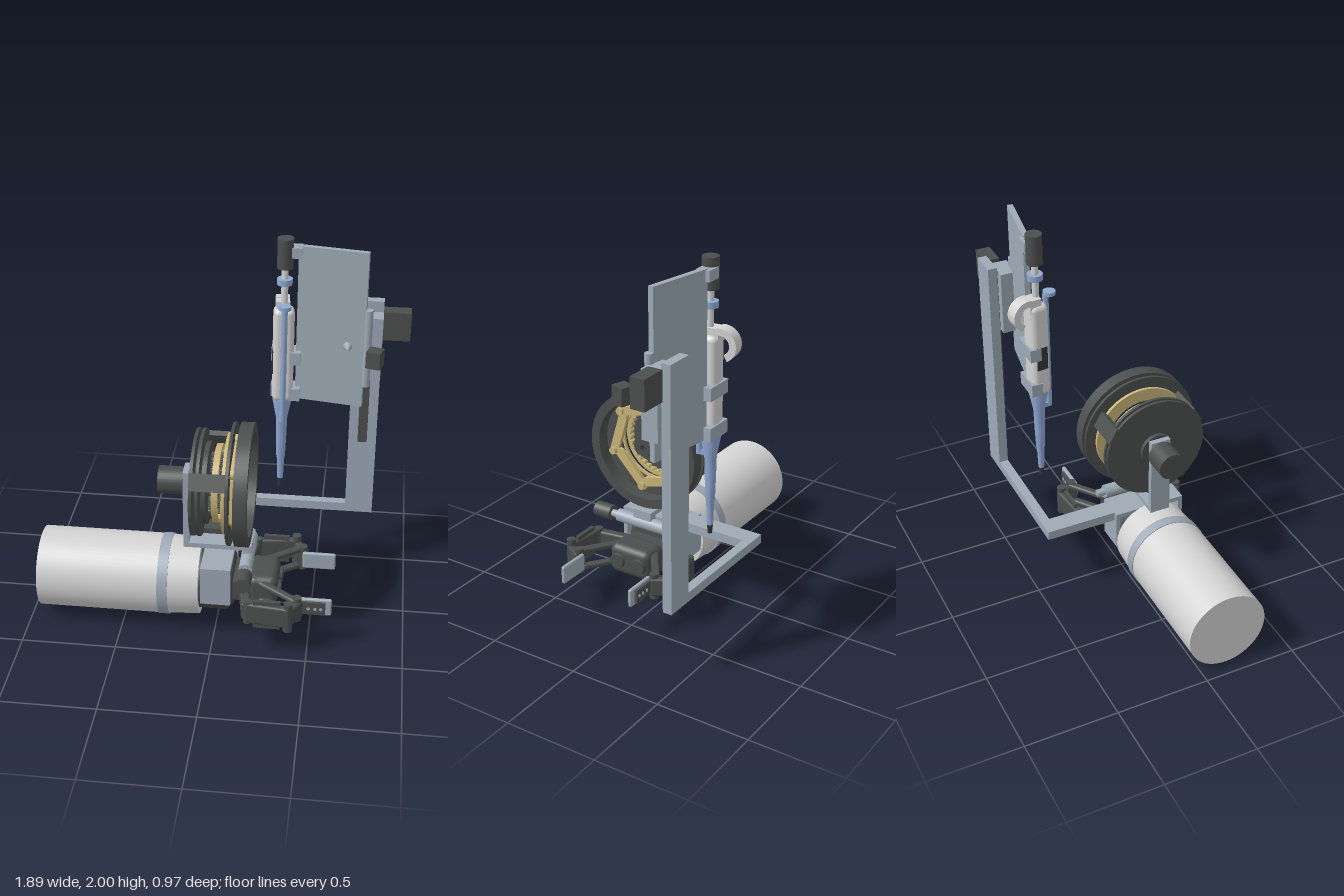
import * as THREE from 'three';
import { toCreasedNormals } from 'three/addons/utils/BufferGeometryUtils.js';
import { RoundedBoxGeometry } from 'three/addons/geometries/RoundedBoxGeometry.js';

const mat = (name, color) => Object.assign(new THREE.MeshStandardMaterial({ color }), { name });

export function createModel() {
  const model = new THREE.Group();
  model.name = 'robotArmTool';
  const steel = mat('blue grey steel', 0x9eaab6);
  const dark = mat('dark grey', 0x4b4f4e);
  const gold = mat('brass', 0xc9b478);
  const silver = mat('light grey', 0xd4d4d4);
  const blue = mat('light blue', 0x8fa8d2);
  const black = mat('charcoal', 0x343636);

  const add = (parent, name, geo, m, x = 0, y = 0, z = 0) => {
    const mesh = new THREE.Mesh(geo, m);
    mesh.name = name;
    mesh.position.set(x, y, z);
    parent.add(mesh);
    return mesh;
  };
  // box given by its limits
  const box = (parent, name, m, x0, x1, y0, y1, z0, z1) =>
    add(parent, name, new THREE.BoxGeometry(x1 - x0, y1 - y0, z1 - z0), m, (x0 + x1) / 2, (y0 + y1) / 2, (z0 + z1) / 2);
  // cylinders along the three axes
  const cylY = (parent, name, m, rTop, rBottom, y0, y1, x, z) =>
    add(parent, name, new THREE.CylinderGeometry(rTop, rBottom, y1 - y0, 32), m, x, (y0 + y1) / 2, z);
  const cylX = (parent, name, m, r0, r1, x0, x1, y, z, n = 48) => {
    const c = add(parent, name, new THREE.CylinderGeometry(r1, r0, x1 - x0, n), m, (x0 + x1) / 2, y, z);
    c.rotation.z = -Math.PI / 2;
    return c;
  };
  const cylZ = (parent, name, m, r, z0, z1, x, y) => {
    const c = add(parent, name, new THREE.CylinderGeometry(r, r, z1 - z0, 32), m, x, y, (z0 + z1) / 2);
    c.rotation.x = Math.PI / 2;
    return c;
  };
  const extrude = (shape, depth) => toCreasedNormals(
    new THREE.ExtrudeGeometry(shape, { depth, bevelEnabled: false, curveSegments: 32 }), 0.5);

  // forearm
  const AY = 0.243, AZ = 0.137;
  cylX(model, 'forearm', silver, 0.214, 0.214, -0.945, -0.27, AY, AZ, 64);
  cylX(model, 'forearmCollar', steel, 0.218, 0.218, -0.3, -0.245, AY, AZ, 64);
  cylX(model, 'wristFlange', silver, 0.212, 0.204, -0.246, -0.085, AY, AZ, 32);
  cylY(model, 'wristScrew', silver, 0.02, 0.016, 0, 0.06, -0.22, 0.145);

  // gripper body and palm
  const gripper = new THREE.Group();
  gripper.name = 'gripper';
  model.add(gripper);
  const body = [[0, -0.09], [0.172, -0.09], [0.172, 0.06], [0.135, 0.092], [0, 0.092]];
  const base = add(gripper, 'gripperBody', toCreasedNormals(
    new THREE.LatheGeometry(body.map(p => new THREE.Vector2(...p)), 48), 0.6), dark, 0, AY, AZ);
  base.rotation.z = -Math.PI / 2;
  box(gripper, 'palmNeck', dark, 0.08, 0.2, 0.19, 0.295, AZ - 0.12, AZ + 0.12);
  add(gripper, 'palm', new RoundedBoxGeometry(0.16, 0.17, 0.25, 3, 0.04), dark, 0.25, AY, AZ);
  for (const s of [-1, 1]) cylX(gripper, 'palmKnob', dark, 0.05, 0.04, 0.3, 0.345, AY, AZ + s * 0.065, 24);

  // two mirrored fingers; d is the distance from the gripper axis
  for (const s of [-1, 1]) {
    const finger = new THREE.Group();
    finger.name = s > 0 ? 'frontFinger' : 'backFinger';
    gripper.add(finger);
    const link = (name, x0, d0, x1, d1, h, w) => {
      const l = add(finger, name, new RoundedBoxGeometry(Math.hypot(x1 - x0, d1 - d0) + w * 0.6, h, w, 2, 0.012),
        dark, (x0 + x1) / 2, AY, AZ + s * (d0 + d1) / 2);
      l.rotation.y = -s * Math.atan2(d1 - d0, x1 - x0);
    };
    const pin = (x, d, h) => cylY(finger, 'jointPin', dark, 0.024, 0.024, AY - h / 2, AY + h / 2, x, AZ + s * d);
    link('knuckle', 0.15, 0.1, 0.18, 0.29, 0.1, 0.05);
    link('outerLink', 0.19, 0.3, 0.4, 0.325, 0.12, 0.042);
    box(finger, 'outerLinkPlate', dark, 0.22, 0.36, 0.16, 0.325, AZ + s * 0.31 - 0.01, AZ + s * 0.31 + 0.01);
    link('bentLink', 0.4, 0.325, 0.45, 0.24, 0.1, 0.042);
    for (const v of [-1, 1]) {
      const before = finger.children.length;
      link('innerLink', 0.21, 0.085, 0.43, 0.245, 0.03, 0.042);
      finger.children[before].position.y += v * 0.05;
    }
    pin(0.21, 0.085, 0.16);
    pin(0.19, 0.295, 0.13);
    pin(0.4, 0.32, 0.17);
    pin(0.44, 0.24, 0.14);
    add(finger, 'fingertip', new RoundedBoxGeometry(0.18, 0.1, 0.022, 3, 0.01), steel, 0.53, AY, AZ + s * 0.211);
    box(finger, 'fingertipBack', dark, 0.41, 0.588, 0.207, 0.28, AZ + s * 0.228 - 0.008, AZ + s * 0.228 + 0.008);
    for (const x of [0.5, 0.535, 0.565])
      cylZ(finger, 'fingertipBolt', steel, 0.009, AZ + s * 0.236 - 0.003, AZ + s * 0.236 + 0.003, x, AY);
  }

  // clamp on the gripper and the frame
  const frame = new THREE.Group();
  frame.name = 'frame';
  model.add(frame);
  for (const s of [-1, 1]) box(frame, 'clampCheek', steel, -0.07, 0.088, 0.2, 0.4, AZ + s * 0.187 - 0.012, AZ + s * 0.187 + 0.012);
  box(frame, 'clampTop', steel, -0.07, 0.088, 0.395, 0.42, AZ - 0.199, AZ + 0.199);
  box(frame, 'sideArm', steel, -0.045, 0.06, 0.37, 0.42, -0.4, -0.05);
  box(frame, 'crossBeam', steel, -0.045, 0.8, 0.37, 0.42, -0.45, -0.4);
  box(frame, 'column', steel, 0.65, 0.8, 0.42, 1.65, -0.45, -0.4);

  // hinge with its motor and the wheel bracket
  cylZ(frame, 'hingeMotor', dark, 0.042, 0.35, 0.452, 0.163, 0.41);
  cylZ(frame, 'hingeShaft', steel, 0.02, -0.07, 0.36, 0.163, 0.41);
  cylZ(frame, 'hingeBarrel', steel, 0.035, -0.025, 0.31, 0.163, 0.41);
  box(frame, 'bracketFoot', steel, 0.14, 0.185, 0.42, 0.485, 0.09, 0.2);
  box(frame, 'bracketBase', steel, -0.175, 0.185, 0.46, 0.487, 0.09, 0.2);
  box(frame, 'bracketUpright', steel, -0.175, -0.145, 0.46, 0.91, 0.09, 0.2);

  // wheel: built along local z, turned so that local z becomes x
  const wheel = new THREE.Group();
  wheel.name = 'wheel';
  wheel.position.set(0, 0.833, 0.145);
  wheel.rotation.y = Math.PI / 2;
  model.add(wheel);
  const ringPoints = (r, n, tooth) => Array.from({ length: n }, (_, i) => {
    const a = i / n * Math.PI * 2, q = r + (i % 4 < 2 ? tooth : 0);
    return new THREE.Vector2(q * Math.cos(a), q * Math.sin(a));
  });
  const disc = (name, m, rOut, rIn, x0, x1, toothOut = 0, toothIn = 0, px = 0, py = 0) => {
    const shape = new THREE.Shape(ringPoints(rOut, toothOut ? 144 : 72, toothOut));
    if (rIn) shape.holes.push(new THREE.Path(ringPoints(rIn, toothIn ? 144 : 72, toothIn)));
    return add(wheel, name, extrude(shape, x1 - x0), m, px, py, x0);
  };
  disc('frontRim', dark, 0.322, 0.272, 0.11, 0.18);
  disc('rimPlate', dark, 0.32, 0.2, 0.07, 0.085);
  disc('guideRing', gold, 0.265, 0.195, 0.045, 0.062);
  disc('ringGear', gold, 0.205, 0.178, -0.01, 0.022, 0, 0.008);
  disc('innerDisc', dark, 0.215, 0, -0.062, -0.038);
  disc('middlePlate', dark, 0.28, 0, -0.085, -0.068);
  disc('backPlate', dark, 0.28, 0.05, -0.116, -0.1);
  disc('hub', dark, 0.09, 0, -0.138, -0.112);
  disc('sunGear', gold, 0.056, 0, -0.02, 0.03, 0.006);
  disc('driveShaft', gold, 0.016, 0, -0.18, 0.03);
  disc('wheelMotor', dark, 0.073, 0, -0.305, -0.175);
  for (let i = 0; i < 3; i++) {
    const a = Math.PI / 2 + i * Math.PI * 2 / 3, b = a + Math.PI / 3;
    const px = 0.115 * Math.cos(a), py = 0.115 * Math.sin(a);
    disc('planetGear', dark, 0.055, 0, -0.03, 0.03, 0.004, 0, px, py);
    disc('planetPin', black, 0.012, 0, 0.03, 0.04, 0, 0, px, py);
    const spacer = add(wheel, 'spacer', new THREE.BoxGeometry(0.03, 0.09, 0.19), dark, 0.27 * Math.cos(b), 0.27 * Math.sin(b), -0.021);
    spacer.rotation.z = b;
  }
  // iris of six overlapping links
  for (let i = 0; i < 6; i++) {
    const a = 1.37 - i * Math.PI / 3, b = a - 0.95;
    const p = new THREE.Vector2(0.243 * Math.cos(a), 0.243 * Math.sin(a));
    const q = new THREE.Vector2(0.212 * Math.cos(b), 0.212 * Math.sin(b));
    const len = p.distanceTo(q), w = 0.025;
    const shape = new THREE.Shape();
    shape.absarc(len, 0, w, -Math.PI / 2, Math.PI / 2);
    shape.absarc(0, 0, w, Math.PI / 2, Math.PI * 1.5);
    const l = add(wheel, 'irisLink', extrude(shape, 0.022), gold, p.x, p.y, 0.086);
    l.rotation.z = Math.atan2(q.y - p.y, q.x - p.x);
    disc('irisPin', gold, 0.02, 0, 0.086, 0.125, 0, 0, p.x, p.y);
  }

  // lift on the column
  const lift = new THREE.Group();
  lift.name = 'lift';
  model.add(lift);
  box(lift, 'rail', dark, 0.7, 0.75, 0.83, 1.6, -0.4, -0.378);
  box(lift, 'carriage', steel, 0.655, 0.8, 1.25, 1.6, -0.38, -0.29);
  cylY(lift, 'pivotRod', steel, 0.022, 0.022, 1.22, 1.65, 0.725, -0.285);
  box(lift, 'liftMotor', dark, 0.8, 0.942, 1.465, 1.62, -0.408, -0.33);
  add(lift, 'sensorBox', new THREE.BoxGeometry(0.075, 0.09, 0.075), dark, 0.767, 1.437, -0.167).rotation.y = -0.3;
  add(lift, 'backPanel', new THREE.BoxGeometry(0.36, 0.86, 0.03), steel, 0.535, 1.53, -0.318).rotation.y = -0.17;
  const stud = add(lift, 'panelStud', new THREE.ConeGeometry(0.025, 0.06, 20), steel, 0.625, 1.44, -0.26);
  stud.rotation.x = Math.PI / 2;

  // dispenser held by the panel
  const pen = new THREE.Group();
  pen.name = 'dispenser';
  pen.position.set(0.288, 0, -0.335);
  pen.rotation.y = 0.12;
  model.add(pen);
  cylY(pen, 'plungerMotor', dark, 0.042, 0.042, 1.84, 2, 0, 0);
  cylY(pen, 'plungerRod', silver, 0.018, 0.018, 1.6, 1.85, 0, 0);
  cylY(pen, 'plungerButton', blue, 0.04, 0.04, 1.75, 1.782, 0, 0);
  add(pen, 'handle', new RoundedBoxGeometry(0.11, 0.53, 0.1, 4, 0.03), silver, 0, 1.355, -0.005);
  box(pen, 'handleCap', silver, -0.04, 0.03, 1.58, 1.655, -0.055, 0.01);
  box(pen, 'display', black, -0.058, -0.053, 1.25, 1.38, -0.035, 0.025);
  const hook = new THREE.Shape();
  hook.absarc(0, 0, 0.085, -1.1, 1.75);
  hook.absarc(0, 0, 0.05, 1.75, -1.1, true);
  add(pen, 'fingerHook', extrude(hook, 0.07), silver, -0.04, 1.575, -0.062).rotation.y = Math.PI / 2;
  cylY(pen, 'ejectorRod', blue, 0.016, 0.016, 0.985, 1.65, 0, 0.055);
  cylY(pen, 'ejectorButton', blue, 0.033, 0.033, 1.642, 1.662, 0, 0.077);
  box(pen, 'ejectorFoot', blue, -0.012, 0.012, 0.98, 1.005, 0, 0.065);
  const nozzle = [[0, 0.6], [0.016, 0.6], [0.02, 0.72], [0.024, 0.74], [0.028, 0.86], [0.031, 0.98], [0.052, 1.09], [0.05, 1.11], [0, 1.11]];
  add(pen, 'nozzle', toCreasedNormals(new THREE.LatheGeometry(nozzle.map(p => new THREE.Vector2(...p)), 32), 0.5), blue, 0, 0, -0.007);
  cylY(pen, 'tip', black, 0.016, 0.011, 0.552, 0.605, 0, -0.007);

  // brackets joining dispenser and panel
  box(lift, 'motorBracket', steel, 0.29, 0.375, 1.9, 1.955, -0.382, -0.31);
  for (const y of [1.1, 1.31]) {
    box(lift, 'holderSide', steel, 0.325, 0.382, y, y + 0.07, -0.4, -0.295);
    box(lift, 'holderBack', steel, 0.225, 0.33, y, y + 0.07, -0.4, -0.34);
  }
  return model;
}
